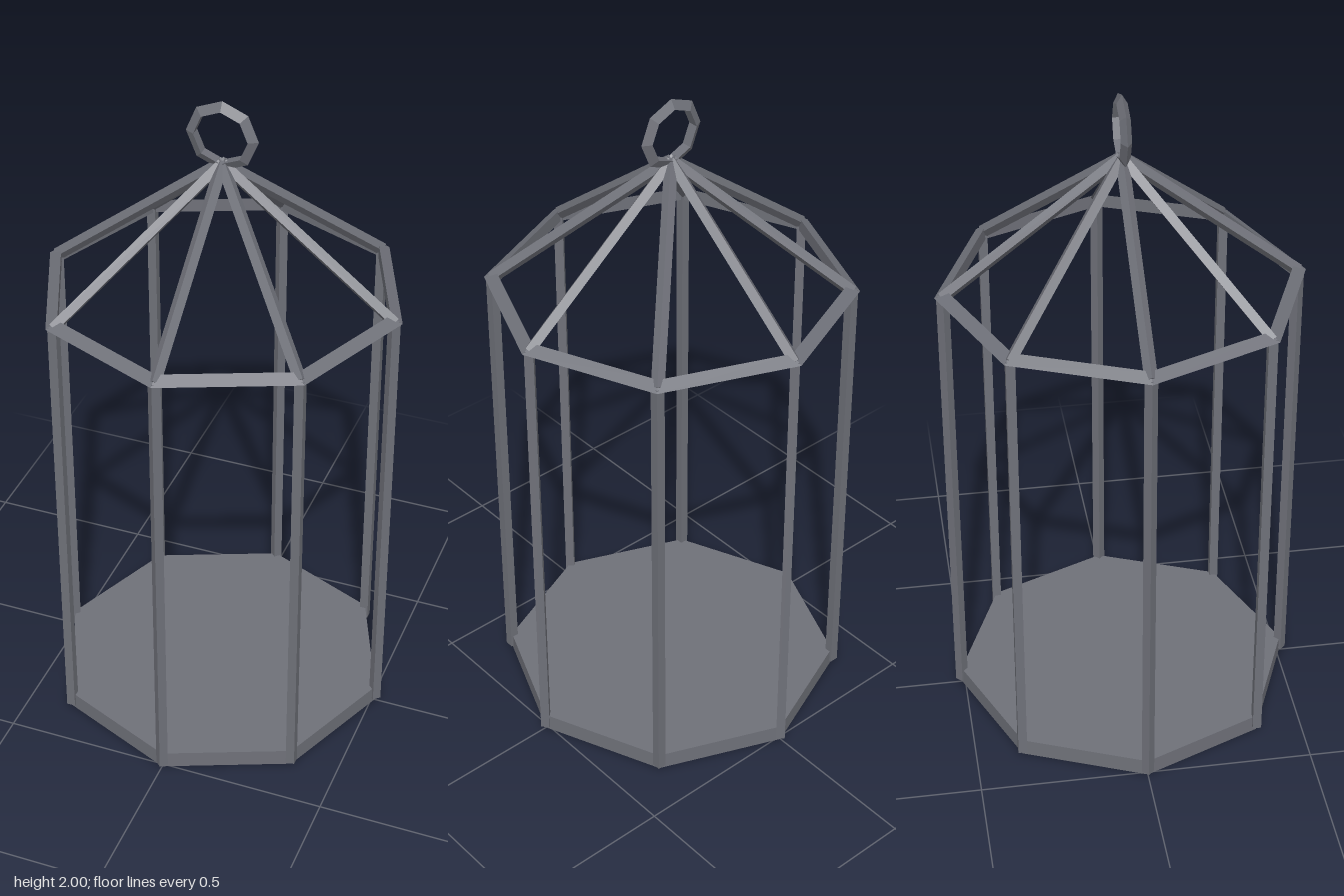
import * as THREE from 'three';

export function createModel() {
  const model = new THREE.Group();
  model.name = 'birdCage';

  const iron = new THREE.MeshStandardMaterial({ color: 0x6f7179 });
  iron.name = 'iron grey';
  iron.flatShading = true;

  const SIDES = 8;
  const RADIUS = 0.51;
  const BAR = 0.0187;
  const EAVES = 1.41;
  const PEAK = 1.81;

  const add = (parent, name, geometry) => {
    const mesh = new THREE.Mesh(geometry, iron);
    mesh.name = name;
    parent.add(mesh);
    return mesh;
  };

  // Floor plate
  add(model, 'floor', new THREE.CylinderGeometry(RADIUS, RADIUS, 0.053, SIDES)).position.y = 0.0265;

  // Upright bars and roof ribs, one pair at each corner
  const barGeometry = new THREE.CylinderGeometry(BAR, BAR, 1.4, 4);
  const rise = PEAK - EAVES;
  const ribGeometry = new THREE.CylinderGeometry(BAR, BAR, Math.hypot(RADIUS, rise), 4);
  for (let i = 0; i < SIDES; i++) {
    const corner = new THREE.Group();
    corner.name = 'corner' + (i + 1);
    corner.rotation.y = (i / SIDES) * Math.PI * 2;
    add(corner, 'uprightBar', barGeometry).position.set(RADIUS, 0.715, 0);
    const rib = add(corner, 'roofRib', ribGeometry);
    rib.position.set(RADIUS / 2, (EAVES + PEAK) / 2, 0);
    rib.rotation.z = Math.atan2(RADIUS, rise);
    model.add(corner);
  }

  // Hoop around the eaves, triangular in section
  const hoop = add(model, 'eavesHoop', new THREE.TorusGeometry(RADIUS, 0.024, 3, SIDES));
  hoop.rotation.x = Math.PI / 2;
  hoop.position.y = EAVES;

  // Hanging ring
  add(model, 'hangingRing', new THREE.TorusGeometry(0.088, 0.018, 3, SIDES)).position.y = 1.894;

  return model;
}
